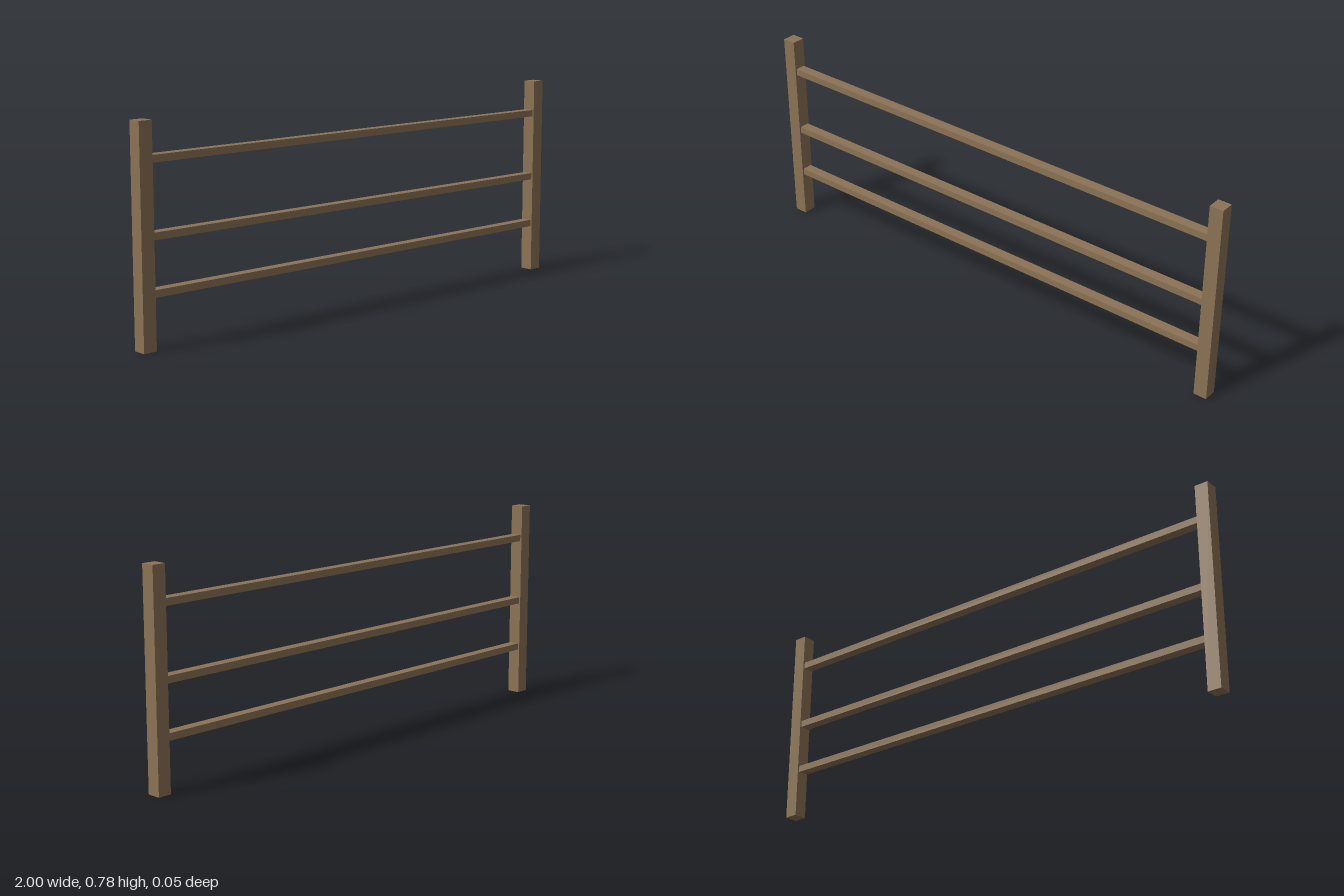
import * as THREE from 'three';

export function createModel() {
  const group = new THREE.Group();
  const wood = new THREE.MeshStandardMaterial({ color: 0x8b7355, flatShading: true });
  const postSize = 0.052;
  const postHeight = 0.78;

  const addBox = (name, w, h, d, x, y) => {
    const mesh = new THREE.Mesh(new THREE.BoxGeometry(w, h, d), wood);
    mesh.name = name;
    mesh.position.set(x, y, 0);
    group.add(mesh);
  };

  // Square end posts
  for (const side of [-1, 1]) {
    addBox(side < 0 ? 'rightPost' : 'leftPost', postSize, postHeight, postSize,
      side * (1 - postSize / 2), postHeight / 2);
  }

  // Horizontal rails let into the posts
  const rails = { bottomRail: 0.195, middleRail: 0.39, topRail: 0.65 };
  for (const [name, y] of Object.entries(rails)) {
    addBox(name, 2 - postSize, 0.026, 0.039, 0, y);
  }

  return group;
}
